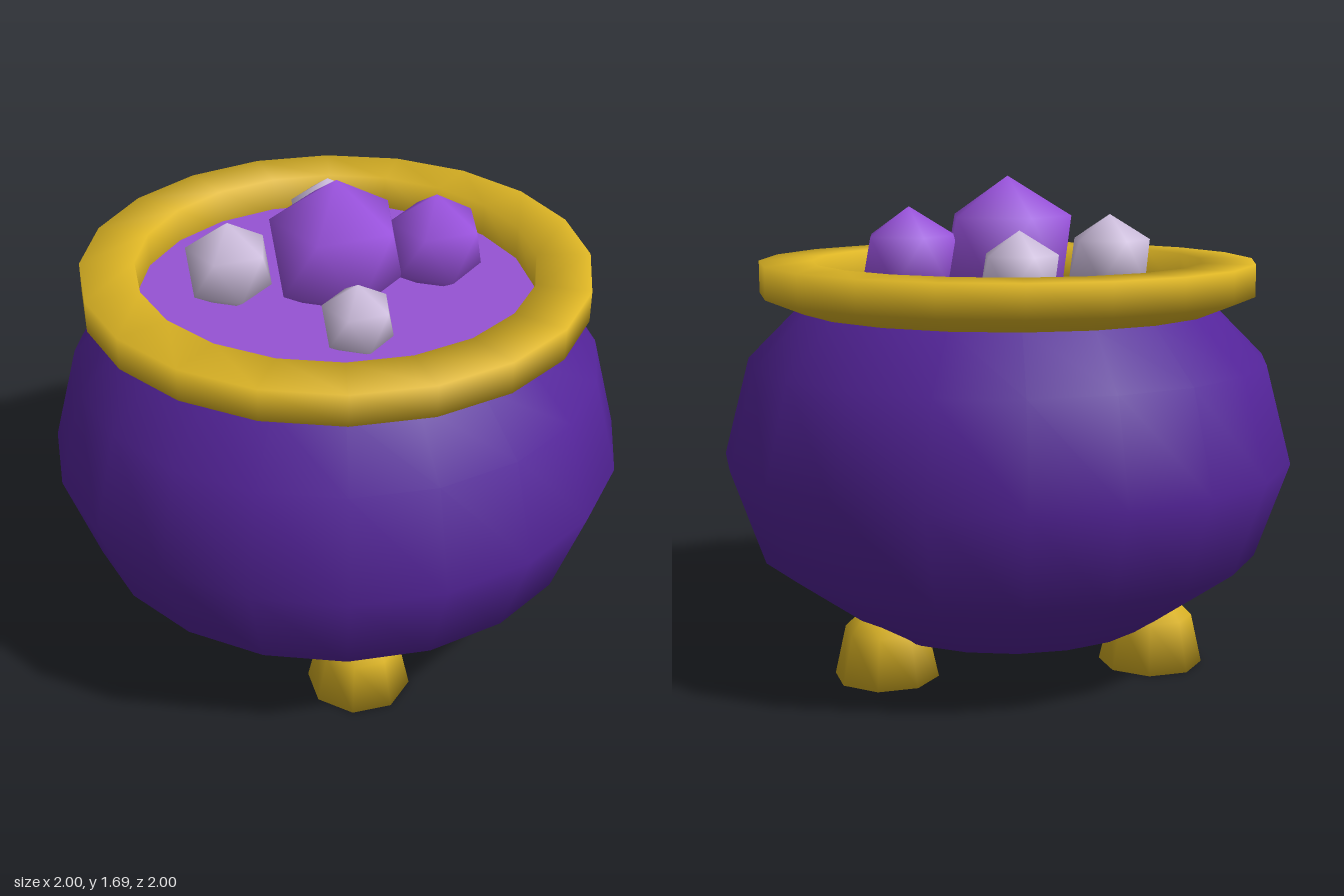
import * as THREE from 'three';

const mat = (name, color, extra = {}) => {
  const m = new THREE.MeshStandardMaterial({ color, ...extra });
  m.name = name;
  return m;
};

// Smooth-shaded turned solid from [radius, height] pairs, bottom to top
const turned = (points, sides) =>
  new THREE.LatheGeometry(points.map(([r, y]) => new THREE.Vector2(r, y)), sides);

// Unit icosahedron standing on a corner, with round (smooth) normals
function bubbleGeometry() {
  const geo = new THREE.IcosahedronGeometry(1, 0);
  geo.rotateX(-Math.atan2((1 + Math.sqrt(5)) / 2, 1));
  geo.rotateY(Math.PI / 2);
  geo.setAttribute('normal', geo.attributes.position.clone());
  return geo;
}

export function createModel() {
  const group = new THREE.Group();
  group.name = 'cauldron';

  const purple = mat('deep purple', 0x54249a);
  const gold = mat('gold', 0xdcb424);
  const brew = mat('brew violet', 0x9653d4);
  const violet = mat('bright violet', 0x9d54e2);
  const pale = mat('pale lilac', 0xd2c2e2);

  const add = (name, geo, material) => {
    const mesh = new THREE.Mesh(geo, material);
    mesh.name = name;
    group.add(mesh);
    return mesh;
  };

  // Round pot
  add('pot', turned([[0, 0.11], [0.54, 0.14], [0.885, 0.39], [1, 0.72], [0.91, 1.06], [0.73, 1.24]], 20), purple);

  // Flared rim with a flat top and a straight inner wall
  add('rim', turned([[0.73, 1.235], [0.865, 1.29], [0.865, 1.4], [0.68, 1.4], [0.68, 1.25], [0.73, 1.235]], 20), gold);

  // Surface of the brew
  const surface = add('brew', new THREE.CircleGeometry(0.69, 20).rotateX(-Math.PI / 2), brew);
  surface.position.y = 1.28;

  // Bubbles: x, y, z, radius, material
  const bubble = bubbleGeometry();
  [
    [0, 1.44, 0, 0.25, violet],
    [0.33, 1.41, 0.13, 0.18, violet],
    [-0.31, 1.395, -0.19, 0.16, pale],
    [0.21, 1.38, -0.315, 0.145, pale],
    [-0.165, 1.36, 0.32, 0.13, pale],
  ].forEach(([x, y, z, r, material], i) => {
    const mesh = add('bubble' + (i + 1), bubble, material);
    mesh.position.set(x, y, z);
    mesh.scale.setScalar(r);
  });

  // Three stubby feet
  const foot = turned([[0, 0], [0.18, 0], [0.142, 0.17], [0.08, 0.232], [0, 0.245]], 8);
  for (let i = 0; i < 3; i++) {
    const a = (i * Math.PI * 2) / 3;
    add('foot' + (i + 1), foot, gold).position.set(0.538 * Math.cos(a), 0, 0.538 * Math.sin(a));
  }

  return group;
}
